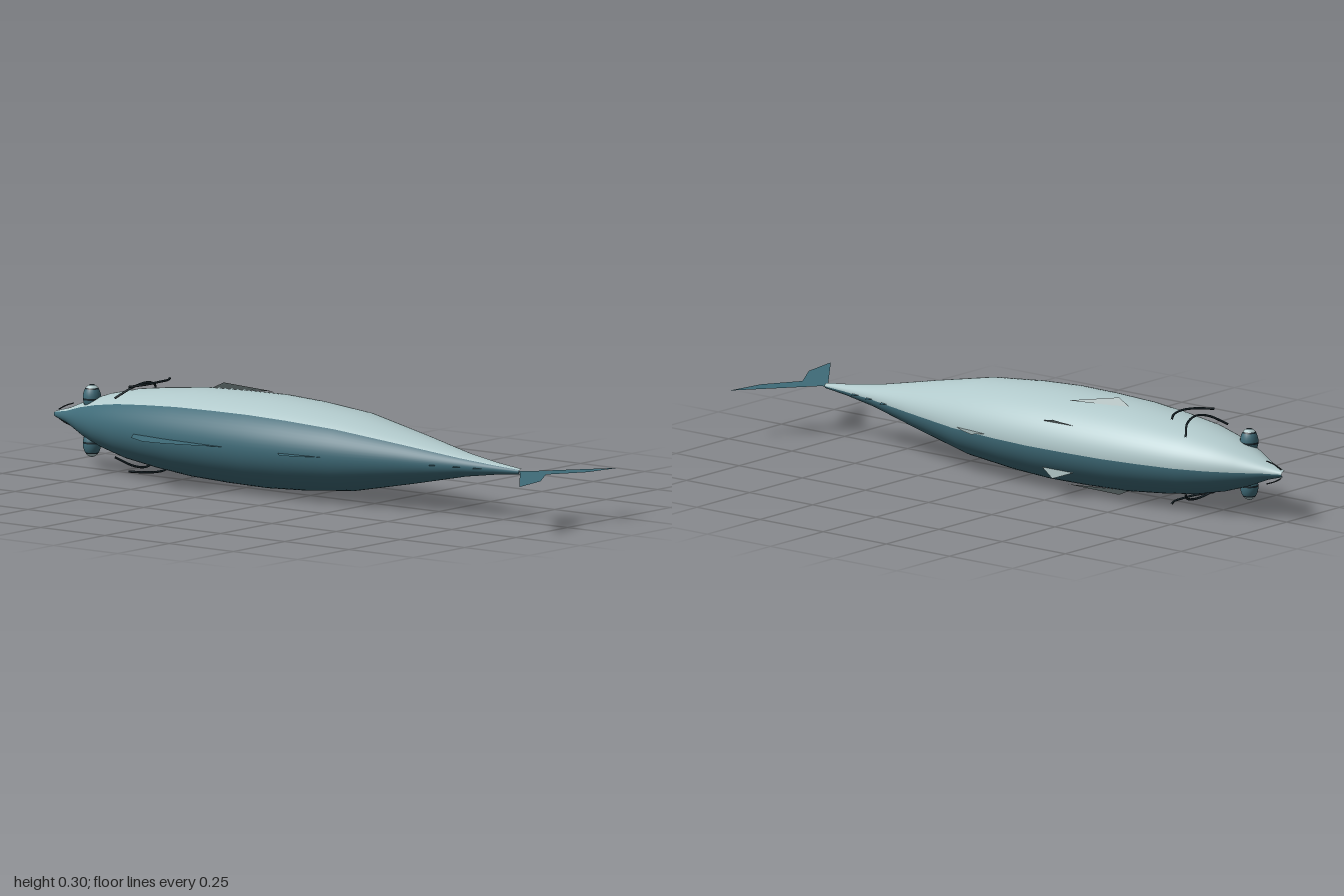
import * as THREE from 'three';

const CY = 0.153, CZ = -0.012; // body axis
const mat = (name, color, side = THREE.FrontSide) => {
  const m = new THREE.MeshStandardMaterial({ color, side });
  m.name = name;
  return m;
};
const V = (p) => new THREE.Vector3(...p);
const rad = THREE.MathUtils.degToRad;

export function createModel() {
  const model = new THREE.Group();
  model.name = 'fish';
  const teal = mat('backTeal', 0x3f6b78);
  const pale = mat('flankSilver', 0xb0c8ca);
  const finTeal = mat('finTeal', 0x3f6b78, THREE.DoubleSide);
  const finGrey = mat('finGrey', 0x93a5a5, THREE.DoubleSide);
  const dark = mat('lineDark', 0x18262c);

  const add = (name, geo, material, parent = model) => {
    const m = new THREE.Mesh(geo, material);
    m.name = name;
    parent.add(m);
    return m;
  };

  // Body: spindle lying along x, open at both tips, split into two colour sectors
  const profile = [
    [-1, 0.012], [-0.94, 0.035], [-0.86, 0.08], [-0.78, 0.115], [-0.68, 0.146], [-0.56, 0.167],
    [-0.43, 0.184], [-0.28, 0.191], [-0.14, 0.193], [0, 0.184], [0.18, 0.162], [0.4, 0.104],
    [0.6, 0.048], [0.72, 0.024], [0.81, 0.011],
  ].map(([x, r]) => new THREE.Vector2(r, x));
  const sector = (name, from, sweep, segments, material) => {
    const g = new THREE.LatheGeometry(profile, segments, rad(from), rad(sweep));
    g.rotateZ(-Math.PI / 2).scale(1, 0.741, 1).translate(0, CY, CZ);
    add(name, g, material);
  };
  sector('silverFlank', -183, 140, 28, pale);
  sector('darkBack', -43, 220, 44, teal);

  // Flat fins in the middle plane, outlined in x and z
  const flatFin = (name, pts, material) => {
    const s = new THREE.Shape(pts.map((p) => new THREE.Vector2(...p)));
    add(name, new THREE.ShapeGeometry(s).rotateX(Math.PI / 2).translate(0, CY, 0), material);
  };
  flatFin('tailFin', [[0.785, -0.016], [0.82, -0.03], [0.995, -0.253], [0.975, -0.13], [0.905, -0.014],
    [0.975, 0.1], [0.995, 0.228], [0.82, 0.006], [0.785, -0.006]], finTeal);
  flatFin('firstDorsalFin', [[-0.58, 0.13], [-0.53, 0.213], [-0.455, 0.251], [-0.38, 0.242],
    [-0.28, 0.21], [-0.18, 0.175], [-0.35, 0.15]], finTeal);
  flatFin('secondDorsalFin', [[-0.01, 0.15], [0.04, 0.204], [0.09, 0.192], [0.17, 0.148], [0.1, 0.12]], finTeal);
  flatFin('analFin', [[0.02, -0.18], [0.065, -0.222], [0.11, -0.205], [0.17, -0.17], [0.1, -0.15]], finGrey);

  // Finlets before the tail, above and below
  [[0.525, 0.07], [0.6, 0.049], [0.667, 0.035]].forEach(([x, r]) => {
    for (const s of [1, -1]) {
      flatFin('finlet', [[x - 0.02, CZ + s * (r - 0.005)], [x, CZ + s * (r + 0.022)],
        [x + 0.02, CZ + s * (r - 0.012)]], finTeal);
    }
  });

  // Paired parts, on both flanks
  const tri = (name, pts, parent) => {
    const g = new THREE.BufferGeometry().setFromPoints(pts.map(V));
    g.computeVertexNormals();
    add(name, g, finGrey, parent);
  };
  const line = (name, pts, r, parent) =>
    add(name, new THREE.TubeGeometry(new THREE.CatmullRomCurve3(pts.map(V)), 16, r, 6), dark, parent);

  for (const s of [1, -1]) {
    const side = new THREE.Group();
    side.name = s > 0 ? 'upperFlankParts' : 'lowerFlankParts';
    side.position.y = CY;
    side.scale.y = s; // heights below are measured outward from the body axis
    model.add(side);

    tri('pectoralFin', [[-0.43, 0.13, -0.06], [-0.38, 0.152, -0.052], [-0.23, 0.131, -0.112]], side);
    tri('pelvicFin', [[-0.31, 0.07, -0.168], [-0.25, 0.092, -0.213], [-0.17, 0.07, -0.172]], side);

    line('frontGillLine', [[-0.7, 0.087, -0.12], [-0.665, 0.118, -0.07], [-0.652, 0.13, -0.01],
      [-0.662, 0.12, 0.04], [-0.69, 0.09, 0.092]], 0.0035, side);
    line('rearGillLine', [[-0.638, 0.132, -0.112], [-0.605, 0.136, -0.06], [-0.595, 0.138, -0.01],
      [-0.605, 0.135, 0.045], [-0.638, 0.13, 0.09]], 0.0035, side);
    line('mouthLine', [[-0.995, 0.013, -0.018], [-0.97, 0.027, -0.022], [-0.945, 0.036, -0.03]], 0.002, side);

    // Eye: banded egg pointing outward
    const eye = new THREE.Group();
    eye.name = 'eye';
    eye.position.set(-0.832, 0.07, 0.024);
    eye.scale.set(0.028, 0.042, 0.028);
    side.add(eye);
    [['pupil', 0, 22, dark], ['iris', 22, 42, pale], ['irisRing', 42, 50, dark],
      ['eyeball', 50, 90, teal], ['eyeRim', 90, 98, dark], ['eyeSocket', 98, 180, teal]]
      .forEach(([name, a, b, m]) => add(name,
        new THREE.SphereGeometry(1, 20, 4, 0, Math.PI * 2, rad(a), rad(b - a)), m, eye));
  }
  return model;
}
